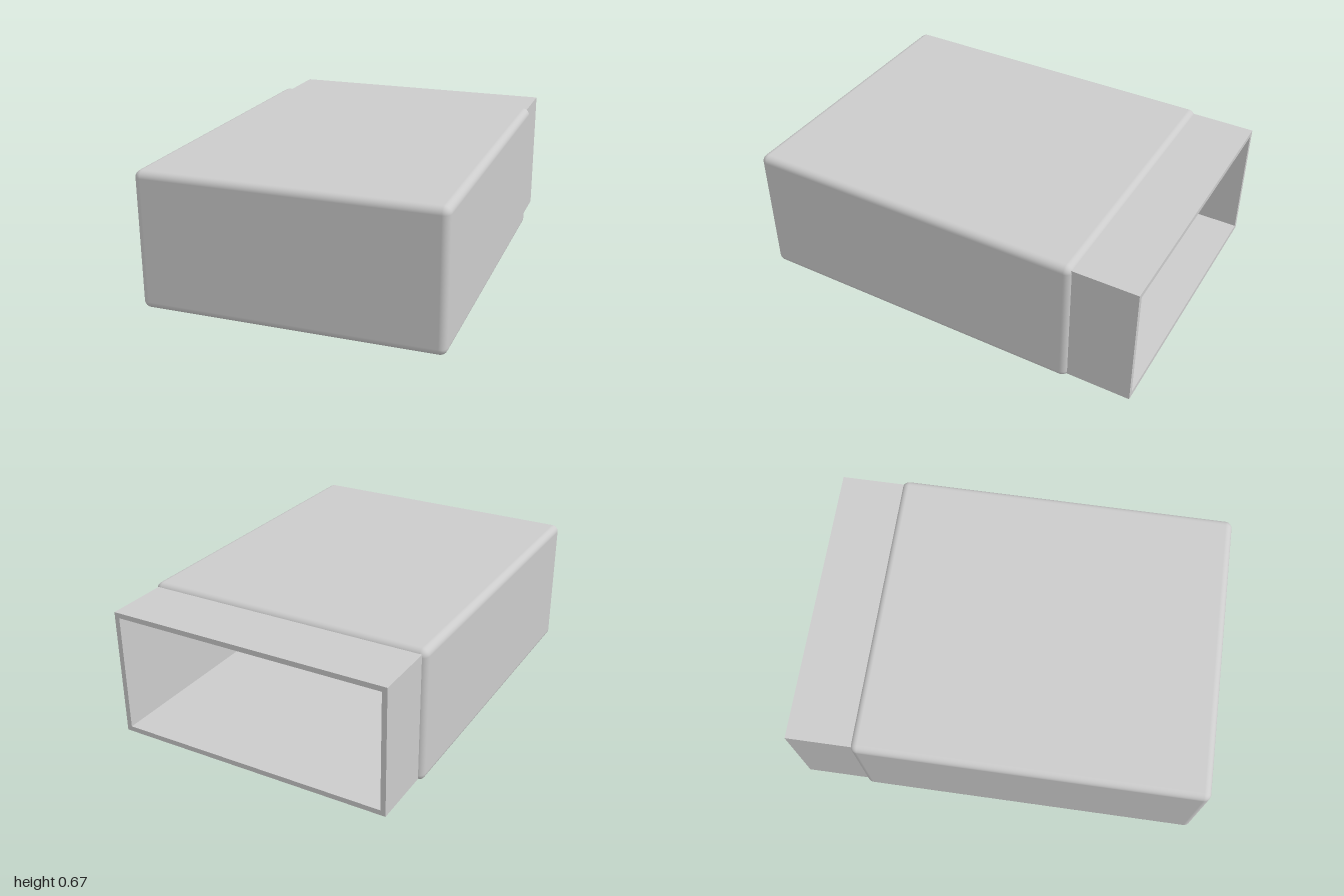
import * as THREE from 'three';
import { RoundedBoxGeometry } from 'three/addons/geometries/RoundedBoxGeometry.js';

const material = new THREE.MeshStandardMaterial({ color: 0xcccccc });

function addPart(group, name, geometry, x, y, z) {
  const mesh = new THREE.Mesh(geometry, material);
  mesh.name = name;
  mesh.position.set(x, y, z);
  group.add(mesh);
}

// Rounded box whose flat back face is removed, leaving the rounded rim
function openBackBox(width, height, depth, radius) {
  const box = new RoundedBoxGeometry(width, height, depth, 5, radius);
  const { position, normal } = box.attributes;
  const points = [], normals = [];
  for (let i = 0; i < position.count; i += 3) {
    const corners = [i, i + 1, i + 2];
    if (corners.every(k => position.getZ(k) < -depth / 2 + 1e-5)) continue;
    for (const k of corners) {
      points.push(position.getX(k), position.getY(k), position.getZ(k));
      normals.push(normal.getX(k), normal.getY(k), normal.getZ(k));
    }
  }
  const open = new THREE.BufferGeometry();
  open.setAttribute('position', new THREE.Float32BufferAttribute(points, 3));
  open.setAttribute('normal', new THREE.Float32BufferAttribute(normals, 3));
  return open;
}

// Square-edged rectangular tube along z, starting at z = 0
function rectTube(width, height, length, wall) {
  const rect = (w, h) => [[-w, -h], [w, -h], [w, h], [-w, h]]
    .map(([x, y]) => new THREE.Vector2(x / 2, y / 2));
  const shape = new THREE.Shape(rect(width, height));
  shape.holes.push(new THREE.Path(rect(width - 2 * wall, height - 2 * wall).reverse()));
  return new THREE.ExtrudeGeometry(shape, { depth: length, bevelEnabled: false });
}

export function createModel() {
  const group = new THREE.Group();
  group.name = 'sleevedCase';
  const height = 0.666, midY = height / 2;
  const back = -0.69, front = 1, seam = -0.66, cavityEnd = 0.95;

  // Smooth outer shell
  addPart(group, 'outerShell', openBackBox(1.444, height, front - back, 0.035),
    0, midY, (front + back) / 2);

  // Thin collar projecting from the back, and the cavity lining that continues it
  addPart(group, 'collar', rectTube(1.4, 0.63, seam + 1, 0.025), 0, midY, -1);
  addPart(group, 'cavityLining', rectTube(1.4, 0.63, cavityEnd - seam, 0.025), 0, midY, seam);

  // End wall closing the cavity
  addPart(group, 'cavityEndWall', new THREE.BoxGeometry(1.4, 0.63, 0.02), 0, midY, cavityEnd + 0.01);

  return group;
}
